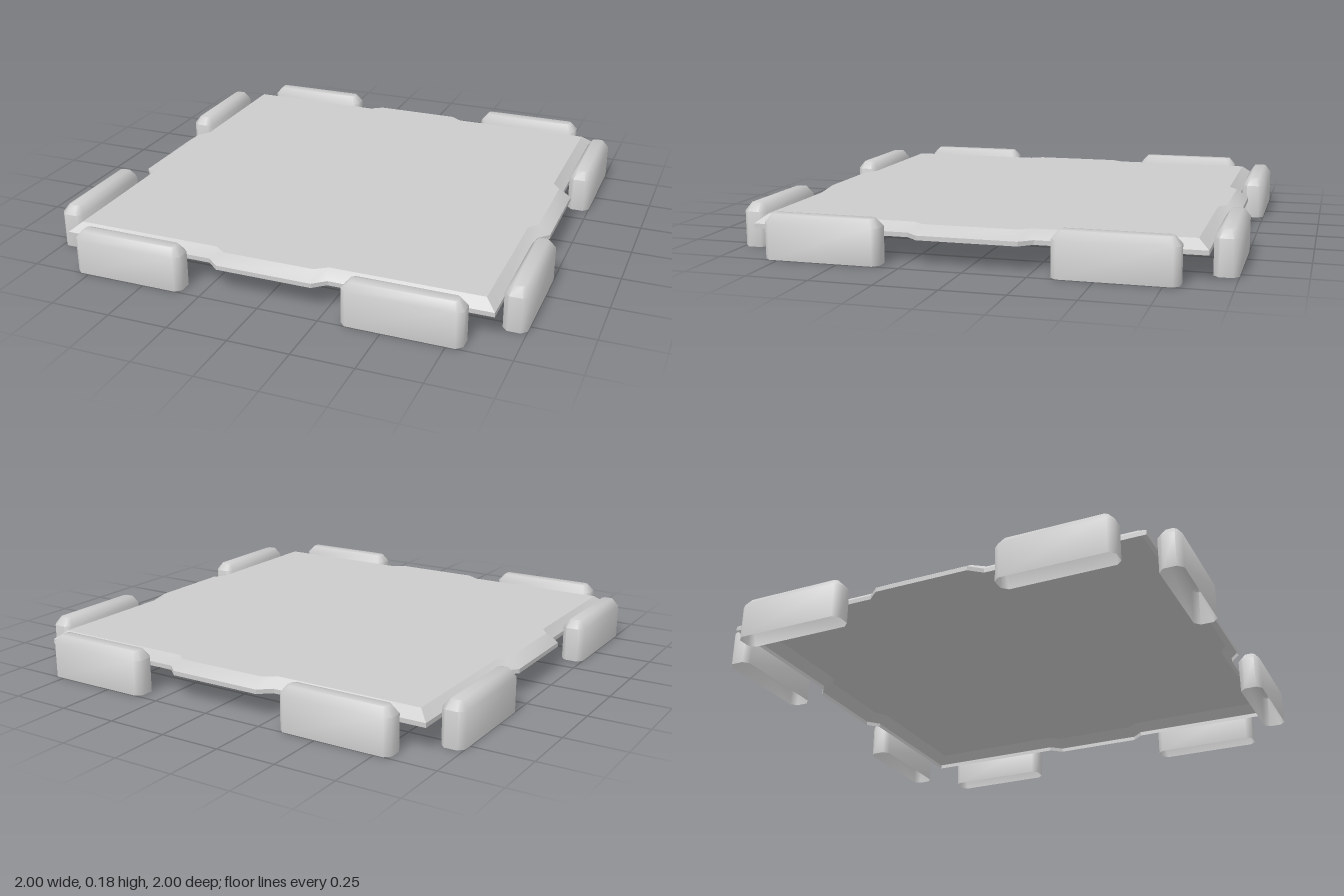
import * as THREE from 'three';
import { toCreasedNormals } from 'three/addons/utils/BufferGeometryUtils.js';

const material = new THREE.MeshStandardMaterial({ color: 0xcccccc, side: THREE.DoubleSide });

// Shell through stacked plan outlines (counter-clockwise from above), closed on top, open below
function shell(levels, crease) {
  const n = levels[0].outline.length;
  const positions = [], index = [];
  for (const { y, outline } of levels) {
    for (const [x, w] of outline) positions.push(x, y, -w);
  }
  for (let j = 0; j < levels.length - 1; j++) {
    for (let i = 0; i < n; i++) {
      const k = (i + 1) % n;
      const a = j * n + i, b = j * n + k, c = a + n, d = b + n;
      index.push(a, b, d, a, d, c);
    }
  }
  const top = levels[levels.length - 1].outline.map(([x, w]) => new THREE.Vector2(x, w));
  const base = (levels.length - 1) * n;
  for (const face of THREE.ShapeUtils.triangulateShape(top, [])) {
    index.push(...face.map((i) => base + i));
  }
  const geometry = new THREE.BufferGeometry();
  geometry.setAttribute('position', new THREE.Float32BufferAttribute(positions, 3));
  geometry.setIndex(index);
  return toCreasedNormals(geometry, crease);
}

// Square outline with a tab in the middle of every side
function deckOutline(side, tab, wide, narrow) {
  const edge = [[side, -wide], [tab, -narrow], [tab, narrow], [side, wide], [side, side]];
  const points = [];
  for (let q = 0; q < 4; q++) {
    const c = Math.round(Math.cos(q * Math.PI / 2)), s = Math.round(Math.sin(q * Math.PI / 2));
    for (const [x, w] of edge) points.push([x * c - w * s, x * s + w * c]);
  }
  return points;
}

// Rectangle with cut corners
function cutRect(hx, hw, cx, cw) {
  return [
    [hx, -hw + cw], [hx, hw - cw], [hx - cx, hw], [-hx + cx, hw],
    [-hx, hw - cw], [-hx, -hw + cw], [-hx + cx, -hw], [hx - cx, -hw],
  ];
}

export function createModel() {
  const model = new THREE.Group();

  // Square deck with a sloping rim
  const rim = deckOutline(0.9, 0.943, 0.25, 0.2);
  const deck = new THREE.Mesh(shell([
    { y: 0.1, outline: rim },
    { y: 0.118, outline: rim },
    { y: 0.153, outline: deckOutline(0.857, 0.892, 0.24, 0.19) },
  ], 0.6), material);
  deck.name = 'deck';
  model.add(deck);

  // Two rounded bumpers along every side
  const plan = cutRect(0.048, 0.2375, 0.022, 0.024);
  const bumperGeometry = shell([
    { y: 0, outline: plan },
    { y: 0.145, outline: plan },
    { y: 0.178, outline: cutRect(0.025, 0.21, 0.01, 0.012) },
  ], 1.0);
  ['left', 'back', 'right', 'front'].forEach((name, q) => {
    const pair = new THREE.Group();
    pair.name = name + 'Bumpers';
    pair.rotation.y = q * Math.PI / 2;
    for (const s of [-1, 1]) {
      const bumper = new THREE.Mesh(bumperGeometry, material);
      bumper.name = 'bumper';
      bumper.position.set(0.952, 0, s * 0.5725);
      pair.add(bumper);
    }
    model.add(pair);
  });

  return model;
}
